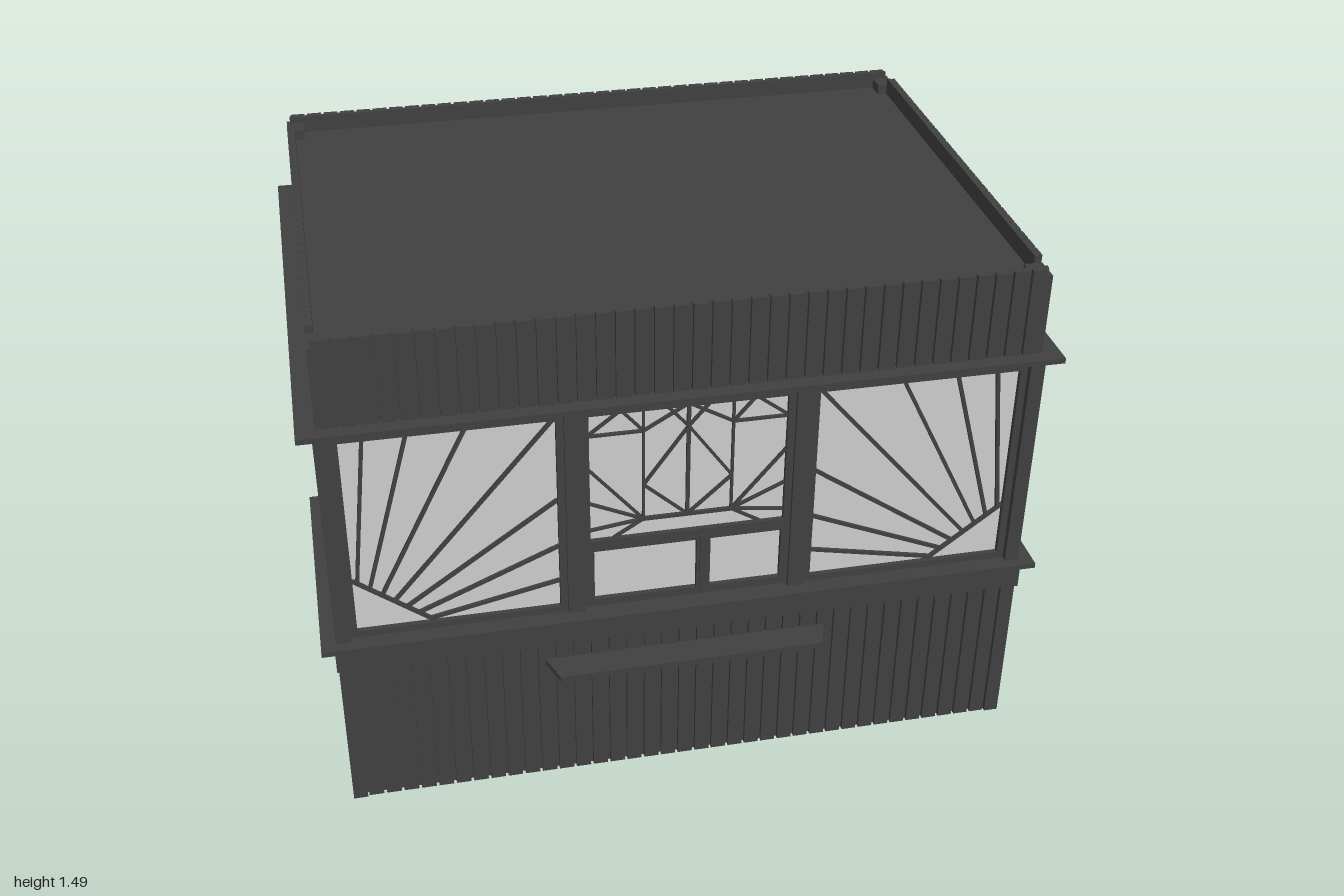
import * as THREE from 'three';
import { mergeGeometries } from 'three/addons/utils/BufferGeometryUtils.js';

const dark = new THREE.MeshStandardMaterial({ color: 0x404040 });
const glass = new THREE.MeshStandardMaterial({ color: 0xcccccc, side: THREE.DoubleSide });

// box geometry from its limits
function boxGeo(x0, x1, y0, y1, z0, z1) {
  return new THREE.BoxGeometry(x1 - x0, y1 - y0, z1 - z0)
    .translate((x0 + x1) / 2, (y0 + y1) / 2, (z0 + z1) / 2);
}

function mesh(name, geo, mat = dark) {
  const m = new THREE.Mesh(Array.isArray(geo) ? mergeGeometries(geo) : geo, mat);
  m.name = name;
  return m;
}

// thin straight bar between two points of a window plane
function bar([ax, ay], [bx, by], w = 0.01, d = 0.014) {
  return new THREE.BoxGeometry(Math.hypot(bx - ax, by - ay), w, d)
    .rotateZ(Math.atan2(by - ay, bx - ax))
    .translate((ax + bx) / 2, (ay + by) / 2, 0);
}

// rectangular frame of four bars around the limits given
function frame(x0, x1, y0, y1, t, z0 = -0.02, z1 = 0.012) {
  return [
    boxGeo(x0, x0 + t, y0, y1, z0, z1), boxGeo(x1 - t, x1, y0, y1, z0, z1),
    boxGeo(x0 + t, x1 - t, y0, y0 + t, z0, z1), boxGeo(x0 + t, x1 - t, y1 - t, y1, z0, z1),
  ];
}

// upright boards with grooves, over a backing sheet; outside faces local +z
function boards(name, length, y0, y1) {
  const n = Math.round(length / 0.05), p = length / n;
  const parts = [boxGeo(-length / 2, length / 2, y0, y1, -0.022, -0.012)];
  for (let i = 0; i < n; i++) {
    const x = -length / 2 + i * p;
    parts.push(boxGeo(x + 0.004, x + p - 0.004, y0, y1, -0.014, 0));
  }
  return mesh(name, parts);
}

// window with rays fanning out of a lower corner (side -1: left, 1: right)
function sunWindow(name, w, y0, y1, side) {
  const g = new THREE.Group();
  g.name = name;
  const t = 0.02, iw = w - 2 * t, ih = y1 - y0 - 2 * t;
  const at = (u, v) => [side * (iw / 2 - u * iw), y0 + t + v * ih];
  const ends = [[0.11, 1], [0.31, 1], [0.58, 1], [0.99, 1], [1, 0.58], [1, 0.33], [1, 0.14]];
  const rays = [bar(at(0, 0.27), at(0.38, 0))];
  ends.forEach((e, i) => {
    const s = 0.06 + 0.148 * i;
    rays.push(bar(at(0.38 * s, 0.27 * (1 - s)), at(...e)));
  });
  g.add(mesh('windowFrame', frame(-w / 2, w / 2, y0, y1, t)));
  g.add(mesh('sunRays', rays));
  g.add(mesh('pane', new THREE.PlaneGeometry(iw, ih).translate(0, (y0 + y1) / 2, -0.002), glass));
  return g;
}

// middle window: leaded upper light above two serving panes
function serviceWindow() {
  const g = new THREE.Group();
  g.name = 'serviceWindow';
  const lead = [
    bar([0, 0.84], [0, 1.19]), bar([-0.12, 0.84], [0.12, 0.84]),
  ];
  for (const s of [-1, 1]) {
    const lines = [
      [0.12, 0.84, 0.12, 1.19], [0.12, 1.12, 0.27, 1.12], [0, 0.84, 0.12, 0.95],
      [0.12, 0.95, 0, 1.12], [0, 1.12, 0.06, 1.19], [0, 1.19, 0.12, 1.12],
      [0.12, 1.12, 0.18, 1.19], [0.18, 1.19, 0.27, 1.12], [0.12, 0.84, 0.27, 1.02],
      [0.12, 0.84, 0.27, 0.91], [0.12, 0.84, 0.27, 0.82], [0.12, 0.84, 0.2, 0.79],
    ];
    for (const [a, b, c, d] of lines) lead.push(bar([s * a, b], [s * c, d], 0.007));
  }
  g.add(mesh('leading', lead));
  g.add(mesh('frames', [
    ...frame(-0.285, 0.285, 0.77, 1.205, 0.02), ...frame(-0.285, 0.285, 0.57, 0.775, 0.02),
    ...frame(-0.27, 0.04, 0.58, 0.77, 0.014), ...frame(0.05, 0.275, 0.58, 0.77, 0.014),
    boxGeo(0.035, 0.06, 0.58, 0.77, -0.02, 0.016),
  ]));
  g.add(mesh('panes', new THREE.PlaneGeometry(0.55, 0.62).translate(0, 0.885, -0.002), glass));
  return g;
}

export function createModel() {
  const model = new THREE.Group();
  model.name = 'kiosk';
  const box = (name, ...b) => model.add(mesh(name, boxGeo(...b)));
  const place = (obj, x, z, ry = 0) => {
    obj.position.set(x, 0, z);
    obj.rotation.y = ry;
    model.add(obj);
  };
  const Q = Math.PI / 2;

  // floor, ceiling and roof
  box('floor', -0.94, 0.94, 0.005, 0.02, -0.68, 0.66);
  box('ceiling', -0.94, 0.94, 1.2, 1.225, -0.68, 0.66);
  box('roof', -0.935, 0.935, 1.42, 1.44, -0.7, 0.655);

  // front: boards, windows, mullions
  place(boards('frontBoards', 1.84, 0, 0.48), 0, 0.675);
  place(sunWindow('frontWindowRight', 0.59, 0.565, 1.205, -1), -0.625, 0.65);
  place(sunWindow('frontWindowLeft', 0.59, 0.565, 1.205, 1), 0.625, 0.65);
  place(serviceWindow(), 0, 0.65);
  box('frontHeader', -0.93, 0.93, 1.2, 1.225, 0.63, 0.665);

  for (const s of [-1, 1]) {
    const side = s > 0 ? 'Left' : 'Right';
    const xbox = (name, a, b, ...r) => box(name + side, Math.min(s * a, s * b), Math.max(s * a, s * b), ...r);
    xbox('frontPost', 0.92, 0.96, 0, 1.225, 0.62, 0.68);
    xbox('mullion', 0.285, 0.33, 0.565, 1.225, 0.62, 0.672);
    xbox('middlePost', 0.92, 0.955, 0, 1.225, -0.02, 0.05);
    xbox('backPost', 0.92, 0.96, 0, 1.225, -0.7, -0.64);
    xbox('sideHeader', 0.92, 0.95, 1.18, 1.225, -0.64, -0.02);
    xbox('windowHeader', 0.92, 0.95, 1.2, 1.225, 0.05, 0.62);
    xbox('sideBand', 0.93, 0.965, 0.475, 0.548, -0.02, 0.6);
    xbox('sideSill', 0.92, 1, 0.55, 0.565, -0.02, 0.6);
    place(boards('sideBoards' + side, 0.57, 0, 0.48), s * 0.955, 0.335, s * Q);
    place(sunWindow('sideWindow' + side, 0.58, 0.565, 1.205, -s), s * 0.935, 0.335, s * Q);

    // parapet side and its corner blocks
    place(boards('parapetSide' + side, 1.235, 1.24, 1.49), s * 0.95, -0.0225, s * Q);
    xbox('parapetCornerFront', 0.9, 0.95, 1.24, 1.47, 0.595, 0.67);
    xbox('parapetCornerBack', 0.9, 0.95, 1.24, 1.47, -0.715, -0.64);
  }

  // band and sill across the front
  box('frontBand', -0.965, 0.965, 0.475, 0.548, 0.6, 0.69);
  box('frontSill', -1, 1, 0.55, 0.565, 0.6, 0.71);

  // solid panels on the left side; the right side is an open doorway
  box('sidePanelLower', 0.925, 0.952, 0.005, 0.567, -0.64, -0.024);
  box('sidePanelUpper', 0.925, 0.952, 0.573, 1.18, -0.64, -0.024);
  box('sidePanelBacking', 0.92, 0.94, 0.005, 1.18, -0.64, -0.02);

  // back panels: three columns, two rows, with narrow seams
  const panels = [boxGeo(-0.92, 0.92, 0.005, 1.2, -0.68, -0.66)];
  const xs = [-0.92, -0.29, 0.29, 0.92];
  for (let i = 0; i < 3; i++) {
    for (const [a, b] of [[0.005, 0.567], [0.573, 1.18]]) {
      panels.push(boxGeo(xs[i] + 0.003, xs[i + 1] - 0.003, a, b, -0.692, -0.67));
    }
  }
  model.add(mesh('backPanels', panels));
  box('backMoulding', -0.95, 0.95, 1.185, 1.225, -0.715, -0.67);

  // cornice and parapet
  box('cornice', -1, 1, 1.225, 1.24, -0.76, 0.71);
  place(boards('parapetFront', 1.88, 1.24, 1.49), 0, 0.672);
  place(boards('parapetBack', 1.88, 1.24, 1.49), 0, -0.718, Math.PI);

  // serving shelf with splayed ends
  const shelf = new THREE.Shape([[-0.4, -0.67], [0.4, -0.67], [0.37, -0.755], [-0.37, -0.755]]
    .map(([x, y]) => new THREE.Vector2(x, y)).reverse());
  const shelfMesh = mesh('servingShelf', new THREE.ExtrudeGeometry(shelf, { depth: 0.018, bevelEnabled: false }));
  shelfMesh.rotation.x = -Q;
  shelfMesh.position.y = 0.397;
  model.add(shelfMesh);

  return model;
}
